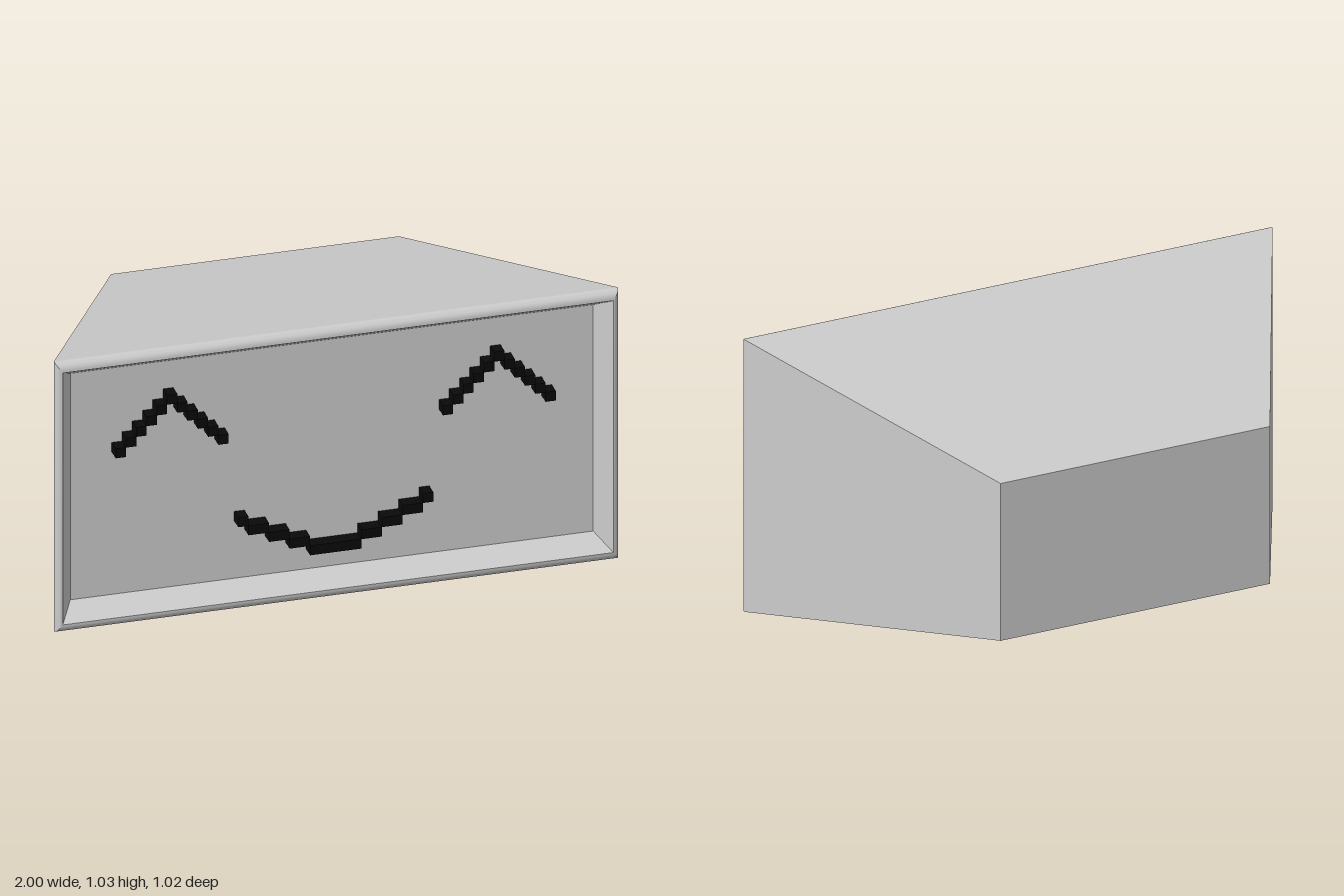
import * as THREE from 'three';
import { toCreasedNormals } from 'three/addons/utils/BufferGeometryUtils.js';

const CELL = 0.0364;
const SCREEN_Z = 0.43;

// Rectangular cross-section, corners anticlockwise seen from the front
const ring = (w, y0, y1, z) => [[-w, y0, z], [w, y0, z], [w, y1, z], [-w, y1, z]];

const quad = (out, a, b, c, d) => out.push(...a, ...b, ...c, ...a, ...c, ...d);

function toGeometry(positions) {
  const g = new THREE.BufferGeometry();
  g.setAttribute('position', new THREE.Float32BufferAttribute(positions, 3));
  return toCreasedNormals(g, 0.4);
}

// Skin a row of cross-sections, optionally closing the first one
function loft(rings, capStart = false) {
  const out = [];
  for (let i = 0; i < rings.length - 1; i++) {
    const p = rings[i], q = rings[i + 1];
    for (let k = 0; k < 4; k++) {
      const n = (k + 1) % 4;
      quad(out, p[k], p[n], q[n], q[k]);
    }
  }
  if (capStart) quad(out, rings[0][3], rings[0][2], rings[0][1], rings[0][0]);
  return toGeometry(out);
}

export function createModel() {
  const group = new THREE.Group();
  const grey = new THREE.MeshStandardMaterial({ color: 0xcccccc });
  const black = new THREE.MeshStandardMaterial({ color: 0x0a0a0a });
  const add = (name, geometry) => {
    const mesh = new THREE.Mesh(geometry, grey);
    mesh.name = name;
    group.add(mesh);
  };

  // Tapered housing with a closed back, and the rounded rim around its mouth
  const rim = [];
  for (let i = 0; i <= 6; i++) {
    const a = (i / 6) * Math.PI / 2;
    const inset = 1 - Math.cos(a);
    rim.push(ring(1 - 0.024 * inset, 0.034 * inset, 1.03 - 0.034 * inset, 0.48 + 0.028 * Math.sin(a)));
  }
  add('housing', loft([ring(0.51, 0.217, 0.812, -0.508), rim[0]], true));
  add('frame', loft(rim));

  // Bevelled recess leading to the flat screen
  const screen = ring(0.927, 0.085, 0.95, SCREEN_Z);
  add('screenRecess', loft([rim[6], screen]));
  const face = [];
  quad(face, ...screen);
  add('screen', toGeometry(face));

  // Raised square cells, placed on a grid around (cx, cy)
  const cellGeometry = new THREE.BoxGeometry(CELL, CELL, 0.05);
  const addCells = (name, cx, cy, halfWidth, rowOf) => {
    const part = new THREE.Group();
    part.name = name;
    for (let i = -halfWidth; i <= halfWidth; i++) {
      const cell = new THREE.Mesh(cellGeometry, black);
      cell.name = name + 'Cell';
      cell.position.set(cx + i * CELL, cy + rowOf(Math.abs(i)) * 0.0358, SCREEN_Z + 0.025);
      part.add(cell);
    }
    group.add(part);
  };
  addCells('leftEye', 0.58, 0.826, 5, (i) => -i);
  addCells('rightEye', -0.58, 0.826, 5, (i) => -i);
  addCells('mouth', 0, 0.179, 9, (i) => Math.max(0, Math.floor((i - 1) / 2)));

  return group;
}
